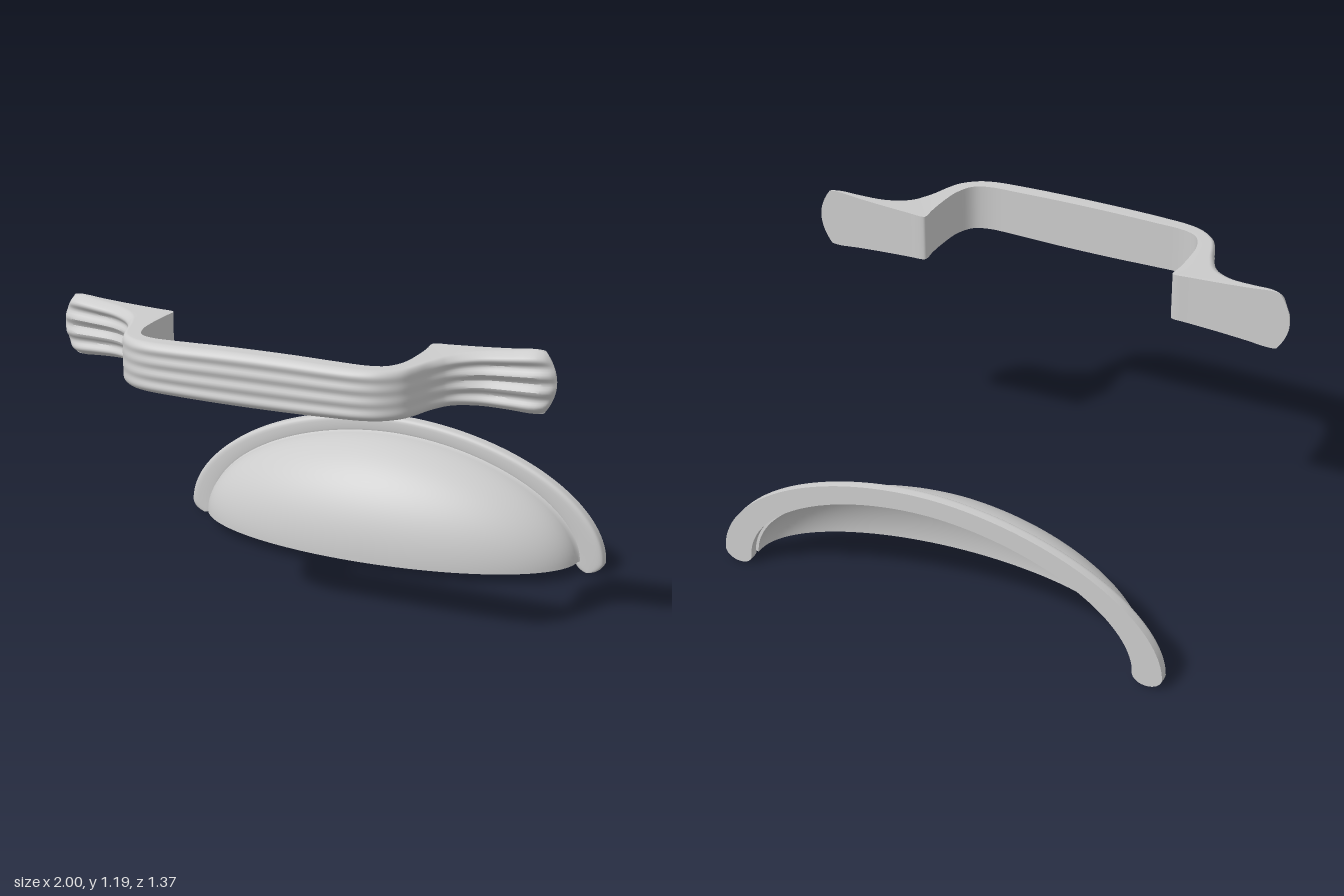
import * as THREE from 'three';
import { toCreasedNormals } from 'three/addons/utils/BufferGeometryUtils.js';

const GREY = new THREE.MeshStandardMaterial({ color: 0xcccccc });

// Closed solid through rows of equal loops; each end is capped by pairing point i with n-1-i.
function loft(name, rows, crease) {
  const n = rows[0].length, last = rows.length - 1, index = [];
  const quad = (a, b, c, d) => index.push(a, b, c, a, c, d);
  for (let r = 0; r < last; r++) {
    for (let i = 0; i < n; i++) {
      const j = (i + 1) % n;
      quad(r * n + i, r * n + j, (r + 1) * n + j, (r + 1) * n + i);
    }
  }
  const e = last * n;
  for (let i = 0; i < n / 2 - 1; i++) {
    quad(i, n - 1 - i, n - 2 - i, i + 1);
    quad(e + i, e + i + 1, e + n - 2 - i, e + n - 1 - i);
  }
  // Turn the faces outward if the enclosed volume comes out negative
  const pts = rows.flat().map(p => new THREE.Vector3(...p));
  let volume = 0;
  for (let i = 0; i < index.length; i += 3) {
    volume += pts[index[i]].dot(pts[index[i + 1]].clone().cross(pts[index[i + 2]]));
  }
  if (volume < 0) index.reverse();
  const geo = new THREE.BufferGeometry().setFromPoints(pts);
  geo.setIndex(index);
  // Creasing merges points on a coarse grid, so it is done at a larger scale
  geo.scale(100, 100, 100);
  const smooth = toCreasedNormals(geo, crease);
  smooth.scale(0.01, 0.01, 0.01);
  const mesh = new THREE.Mesh(smooth, GREY);
  mesh.name = name;
  return mesh;
}

// Bar pull: outer x, z, inner x, z, half height, flute depth, from one foot to the middle
function makeBarPull() {
  const half = [
    [1.0, 0.25, 1.0, 0.242, 0.116, 0.004],
    [0.985, 0.272, 0.985, 0.242, 0.118, 0.012],
    [0.95, 0.29, 0.95, 0.242, 0.119, 0.016],
    [0.85, 0.306, 0.85, 0.242, 0.111, 0.018],
    [0.75, 0.324, 0.72, 0.242, 0.103, 0.016],
    [0.68, 0.36, 0.6, 0.242, 0.097, 0.012],
    [0.645, 0.395, 0.535, 0.242, 0.094, 0.007],
    [0.63, 0.42, 0.526, 0.25, 0.093, 0.005],
    [0.605, 0.47, 0.53, 0.31, 0.092, 0.003],
    [0.58, 0.54, 0.53, 0.4, 0.092, 0.002],
    [0.55, 0.6, 0.52, 0.5, 0.092, 0.002],
    [0.49, 0.65, 0.485, 0.57, 0.093, 0.004],
    [0.42, 0.674, 0.425, 0.596, 0.094, 0.006],
    [0.3, 0.683, 0.3, 0.6, 0.096, 0.007],
    [0.15, 0.684, 0.15, 0.6, 0.099, 0.007],
  ];
  const mirrored = half.map(([a, b, c, ...d]) => [-a, b, -c, ...d]).reverse();
  const all = [...half, [0, 0.684, 0, 0.6, 0.1, 0.007], ...mirrored];
  const outer = new THREE.CatmullRomCurve3(all.map(s => new THREE.Vector3(s[0], s[1], s[4])));
  const inner = new THREE.CatmullRomCurve3(all.map(s => new THREE.Vector3(s[2], s[3], s[5])));
  const steps = (all.length - 1) * 4, across = 40, rows = [];
  for (let r = 0; r <= steps; r++) {
    const o = outer.getPoint(r / steps), q = inner.getPoint(r / steps);
    const dx = q.x - o.x, dz = q.y - o.y, thick = Math.hypot(dx, dz);
    const front = [], back = [];
    for (let i = 0; i <= across; i++) {
      const v = Math.sin((i / across - 0.5) * Math.PI);
      // Three grooves plus rounded long edges
      const flute = o.z && q.z * (0.5 + 0.5 * Math.cos(4 * Math.PI * v));
      const edge = 0.026 * (1 - Math.sqrt(Math.max(0, 1 - Math.abs(v) ** 8)));
      const k = Math.min(flute + edge, thick * 0.8) / thick;
      // Feet end in a shallow arc
      const bow = x => x - Math.sign(x) * 0.045 * v * v * Math.max(0, (Math.abs(x) - 0.6) / 0.4) ** 2;
      const y = 1.07 + v * o.z;
      front.push([bow(o.x + dx * k), y, o.y + dz * k]);
      back.unshift([bow(q.x), y, q.y]);
    }
    rows.push([...front, ...back]);
  }
  return loft('barPull', rows, 0.7);
}

// Arch in the xy plane, slightly fuller than a straight line and close to an ellipse
const BASE = 0.045;
function arch(a, w, h) {
  const p = 2 / 1.9, c = Math.cos(a), s = Math.max(0, Math.sin(a));
  return [w * Math.sign(c) * Math.abs(c) ** p, BASE + h * s ** p];
}

// Hollow quarter dome with a small flare where it meets the rim
function makeCupShell() {
  const rows = [], profile = [[1.025, -0.65], [1.008, -0.64]], m = 28;
  for (let i = 0; i <= m; i++) {
    const t = i / m * Math.PI / 2;
    profile.push([Math.cos(t), -0.632 + 0.364 * Math.sin(t)]);
  }
  for (let i = m; i >= 0; i--) {
    const t = i / m * Math.PI / 2;
    profile.push([0.965 * Math.cos(t), -0.632 + 0.349 * Math.sin(t)]);
  }
  profile.push([0.965, -0.645], [0.965, -0.655]);
  for (let r = 0; r <= 72; r++) {
    rows.push(profile.map(([k, z]) => {
      const [x, y] = arch(r / 72 * Math.PI, 0.83 * k, 0.435 * k);
      return [x, y, z];
    }));
  }
  return loft('cupShell', rows, 0.7);
}

// Flat arched rim with a rounded front and rounded feet
function makeCupRim() {
  const section = [[0, -0.688], [0, -0.66]];
  for (let i = 0; i <= 12; i++) {
    const t = Math.PI * (1 - i / 12);
    section.push([0.5 + 0.5 * Math.sign(Math.cos(t)) * Math.abs(Math.cos(t)) ** 0.6, -0.66 + 0.022 * Math.sin(t) ** 0.6]);
  }
  section.push([1, -0.66], [1, -0.688]);
  // Pair the two sides for the caps
  const loop = section.length % 2 ? [...section, [0.5, -0.688]] : section;
  const row = (a, b) => loop.map(([k, z]) => [a[0] + (b[0] - a[0]) * k, a[1] + (b[1] - a[1]) * k, z]);
  const foot = side => {
    const out = [];
    for (let i = 1; i <= 10; i++) {
      const t = i / 10 * Math.PI / 2, w = 0.0585 * Math.cos(t) + 0.001;
      const mid = 0.8725 - 0.004 * Math.sin(t), y = BASE * (1 - Math.sin(t));
      out.push(row([side * (mid - w), y], [side * (mid + w), y]));
    }
    return out;
  };
  const rows = foot(1).reverse();
  for (let r = 0; r <= 80; r++) {
    const a = r / 80 * Math.PI;
    rows.push(row(arch(a, 0.813, 0.425), arch(a, 0.932, 0.5)));
  }
  rows.push(...foot(-1));
  return loft('cupRim', rows, 0.8);
}

export function createModel() {
  const model = new THREE.Group();
  model.name = 'cabinetPulls';
  const cup = new THREE.Group();
  cup.name = 'cupPull';
  cup.add(makeCupShell(), makeCupRim());
  model.add(makeBarPull(), cup);
  return model;
}
